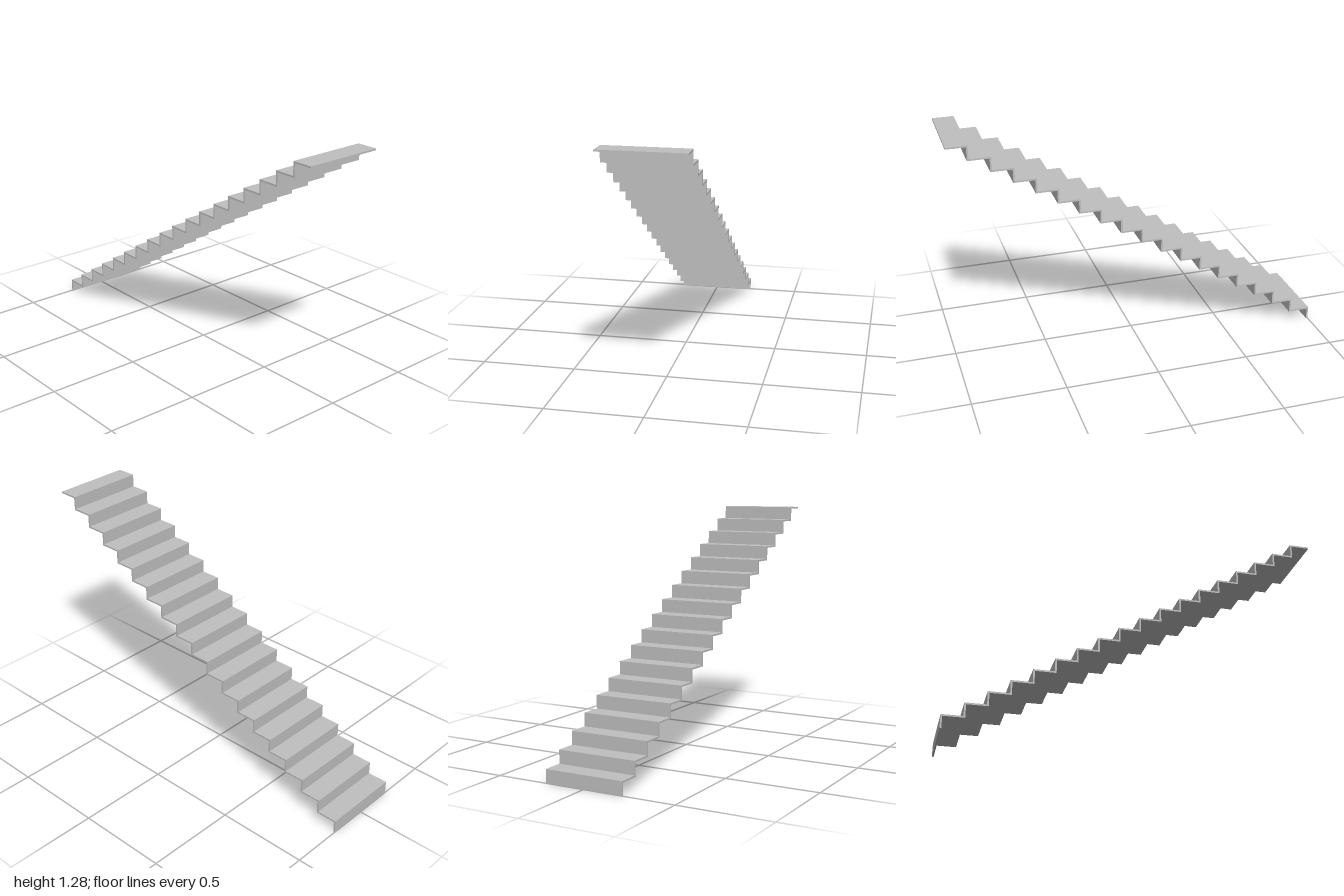
import * as THREE from 'three';

const STEPS = 18;
const RUN = 2 / STEPS;
const RISE = 1.285 / STEPS;
const THICK = 0.009;
const WIDTH = 0.436;

// Zigzag side profile: up along the walking surface, back along the underside
function stairProfile() {
  const upper = [];
  const lower = [];
  for (let i = 0; i < STEPS; i++) {
    const x = -1 + i * RUN;
    const nextX = x + RUN;
    const top = (i + 1) * RISE;
    const isLast = i === STEPS - 1;
    upper.push([x, i * RISE], [x, top]);
    if (isLast) upper.push([nextX, top]);

    if (i === 0) lower.push([x + THICK, 0]);
    lower.push([x + THICK, top - THICK]);
    lower.push([isLast ? nextX : nextX + THICK, top - THICK]);
  }
  const outline = [...upper, ...lower.reverse()];
  return new THREE.Shape(outline.map(([x, y]) => new THREE.Vector2(x, y)));
}

export function createModel() {
  const group = new THREE.Group();
  group.name = 'staircase';

  const grey = new THREE.MeshStandardMaterial({ color: 0xc0c0c0 });
  grey.name = 'light grey';

  // Folded plate of treads and risers
  const geometry = new THREE.ExtrudeGeometry(stairProfile(), { depth: WIDTH, bevelEnabled: false });
  geometry.translate(0, 0, -WIDTH / 2);
  const stairs = new THREE.Mesh(geometry, grey);
  stairs.name = 'treadsAndRisers';
  group.add(stairs);

  return group;
}
